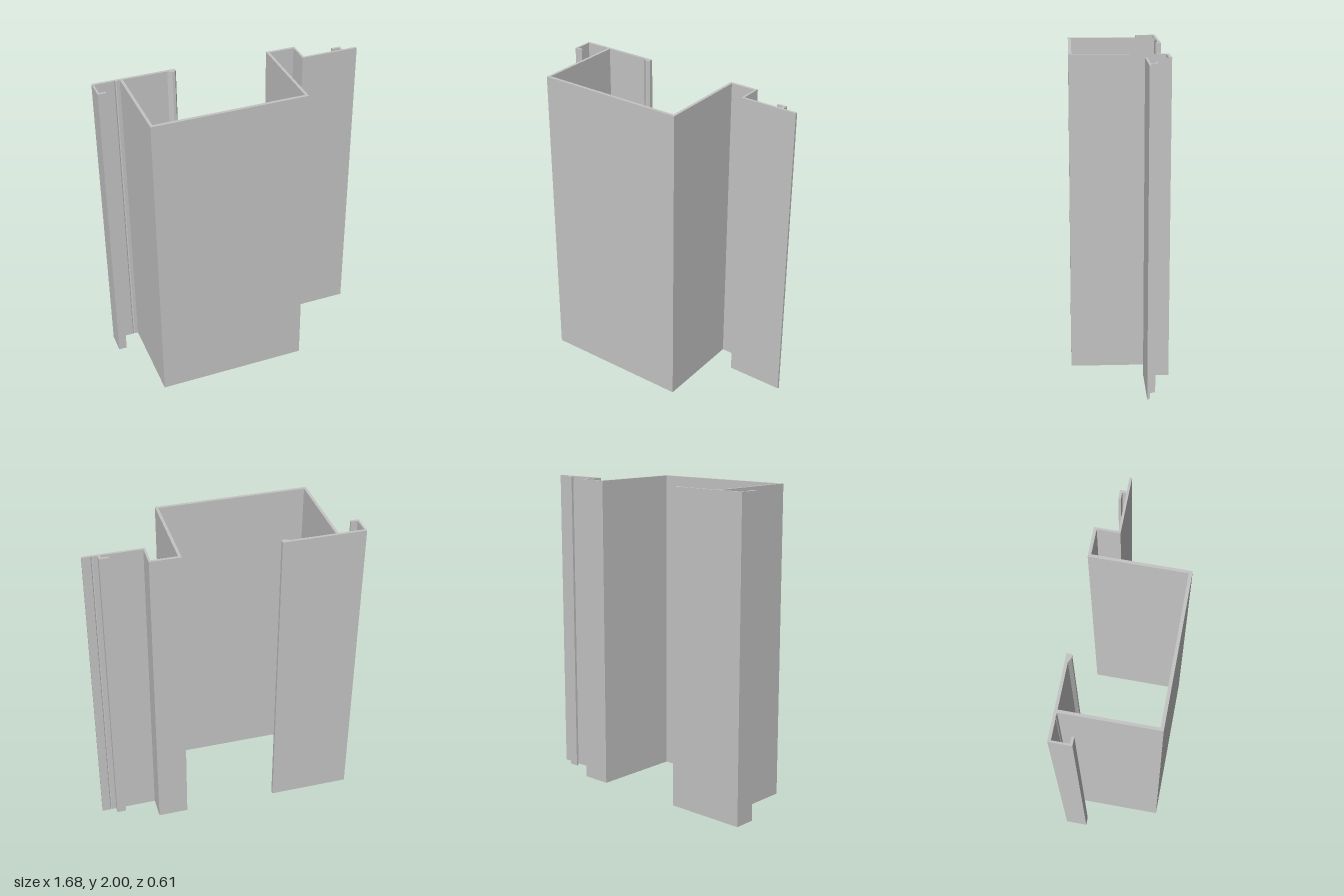
import * as THREE from 'three';

const HEIGHT = 2;

// Plan outline of the folded profile as [x, z], walked once around
const outline = [
  // rear-right flange with rounded bead at its free edge
  [-0.84, -0.305], [-0.317, -0.305], [-0.317, -0.28], [-0.325, -0.271],
  [-0.342, -0.271], [-0.37, -0.287], 
  // inside of the main channel
  [-0.65, -0.287], [-0.65, 0.285], [0.287, 0.285], [0.287, -0.305],
  // back of the step and the side flange
  [0.48, -0.305], [0.48, -0.161], [0.732, -0.161],
  // small clip hook
  [0.732, -0.185], [0.688, -0.185], [0.688, -0.201], [0.747, -0.201], [0.747, -0.161],
  // score line and free edge of the side flange
  [0.777, -0.161], [0.782, -0.157], [0.787, -0.161], [0.84, -0.161], [0.84, -0.146],
  // front of the step
  [0.467, -0.146], [0.467, -0.287], [0.305, -0.287],
  // outside of the main channel
  [0.305, 0.305], [-0.668, 0.305], [-0.668, -0.287],
  // score line, return leg and lip
  [-0.69, -0.287], [-0.697, -0.291], [-0.704, -0.287], [-0.828, -0.287],
  [-0.828, -0.181], [-0.787, -0.181], [-0.787, -0.166], [-0.84, -0.166],
];

export function createModel() {
  const group = new THREE.Group();
  group.name = 'frameProfile';

  const metal = new THREE.MeshStandardMaterial({ color: 0xc4c4c4 });
  metal.name = 'light grey metal';

  // Shape y is -z, so that the extrusion can be stood upright
  const shape = new THREE.Shape(outline.map(([x, z]) => new THREE.Vector2(x, -z)));
  const geometry = new THREE.ExtrudeGeometry(shape, { depth: HEIGHT, bevelEnabled: false });
  geometry.rotateX(-Math.PI / 2);

  const profile = new THREE.Mesh(geometry, metal);
  profile.name = 'foldedProfile';
  group.add(profile);
  return group;
}
